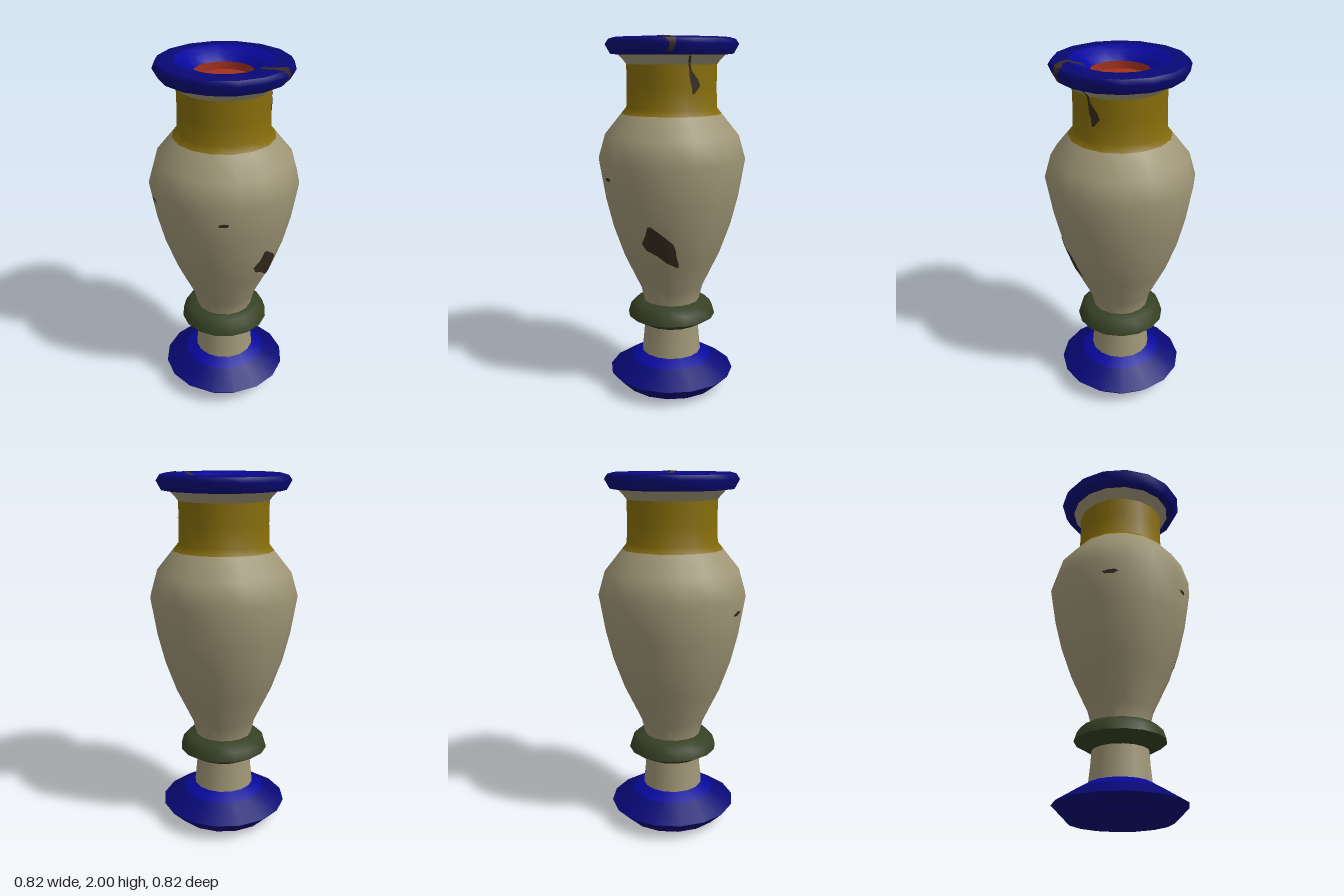
import * as THREE from 'three';

const SIDES = 16;
const HALF = Math.PI / SIDES;

const material = (name, color, side = THREE.FrontSide) => {
  const m = new THREE.MeshStandardMaterial({ color, side });
  m.name = name;
  return m;
};

// Outer profiles as [radius, height], from bottom to top
const BODY = [[0.158, 0.5], [0.16, 0.53], [0.18, 0.61], [0.275, 0.81], [0.335, 0.98], [0.375, 1.14],
  [0.41, 1.35], [0.372, 1.48], [0.277, 1.597]];
const NECK = [[0.277, 1.597], [0.25, 1.63], [0.246, 1.74], [0.247, 1.86]];
const FLARE = [[0.247, 1.86], [0.262, 1.88], [0.295, 1.915]];
const RIM_SIDE = [[0.335, 1.915], [0.363, 1.965], [0.346, 1.991]];
const RIM_TOP = [[0.346, 1.991], [0.315, 2], [0.258, 1.997]];
const RIM_FUNNEL = [[0.258, 1.997], [0.2, 1.978], [0.157, 1.935]];

// Piecewise linear lookup: value in column `to` where column `from` equals v
function lookup(profile, v, from, to) {
  for (let i = 0; i < profile.length - 1; i++) {
    const a = profile[i], b = profile[i + 1];
    const t = (v - a[from]) / (b[from] - a[from]);
    if (t >= -1e-6 && t <= 1 + 1e-6) return a[to] + t * (b[to] - a[to]);
  }
  const end = Math.abs(v - profile[0][from]) < Math.abs(v - profile.at(-1)[from]) ? profile[0] : profile.at(-1);
  return end[to];
}

// Ratio of a facet's distance from the axis to its corner radius at an angle
function facet(angle) {
  const a = ((angle % (2 * HALF)) + 2 * HALF) % (2 * HALF) - HALF;
  return Math.cos(HALF) / Math.cos(a);
}

// Open strip through rows of two end points, each row divided across
function strip(rows, across, place) {
  const pos = [], index = [];
  rows.forEach((row, i) => {
    for (let j = 0; j <= across; j++) {
      pos.push(...place(row, j / across));
      if (i && j) {
        const d = i * (across + 1) + j, b = d - across - 1;
        index.push(b - 1, d - 1, d, b - 1, d, b);
      }
    }
  });
  const g = new THREE.BufferGeometry();
  g.setAttribute('position', new THREE.Float32BufferAttribute(pos, 3));
  g.setIndex(index);
  g.computeVertexNormals();
  return g;
}

// Worn patch on an upright wall: rows are [height, z at one edge, z at the other], on side +x
function wallPatch(profile, rows, turn = 0) {
  return strip(rows, 8, ([y, z0, z1], t) => {
    const r = lookup(profile, y, 1, 0);
    const a = Math.asin((z0 + (z1 - z0) * t) / r) + turn;
    const d = r * facet(a) + 0.004;
    return [d * Math.cos(a), y, d * Math.sin(a)];
  });
}

export function createModel() {
  const group = new THREE.Group();
  const cream = material('cream glaze', 0x9f9676);
  const navy = material('dark blue glaze', 0x080874);
  const blue = material('bright blue glaze', 0x08089c);
  const yellow = material('yellow glaze', 0x866d0a);
  const green = material('green glaze', 0x354023);
  const clay = material('terracotta inside', 0xa3321f);
  const worn = material('worn brown', 0x382c1f, THREE.DoubleSide);

  const add = (name, geometry, mat) => {
    const mesh = new THREE.Mesh(geometry, mat);
    mesh.name = name;
    group.add(mesh);
  };
  const turned = (name, points, mat) =>
    add(name, new THREE.LatheGeometry(points.map(p => new THREE.Vector2(...p)), SIDES), mat);

  // Foot, with a brighter band round the stem
  turned('footUnderside', [[0, 0.02], [0.1, 0.015], [0.16, 0], [0.28, 0.02]], navy);
  turned('footLowerBevel', [[0.28, 0.02], [0.36, 0.1]], navy);
  turned('footTop', [[0.36, 0.1], [0.235, 0.177]], navy);
  turned('footInnerBand', [[0.235, 0.177], [0.17, 0.215], [0.15, 0.218]], blue);

  // Stem with collar
  turned('stem', [[0.172, 0.205], [0.16, 0.32], [0.155, 0.4]], cream);
  turned('collarUnderside', [[0.15, 0.39], [0.17, 0.392], [0.252, 0.44]], green);
  turned('collarTop', [[0.252, 0.44], [0.237, 0.49], [0.205, 0.52], [0.155, 0.53]], green);

  // Body, neck band and flared lip
  turned('body', BODY, cream);
  turned('neckBand', NECK, yellow);
  turned('flare', FLARE, cream);

  // Rim, brighter where it dips into the mouth
  turned('rimUnderside', [[0.27, 1.908], [0.335, 1.915]], navy);
  turned('rimSide', RIM_SIDE, navy);
  turned('rimTop', RIM_TOP, navy);
  turned('rimFunnel', RIM_FUNNEL, blue);

  // Mouth
  turned('mouthWall', [[0.157, 1.935], [0.157, 1.895]], clay);
  turned('mouthFloor', [[0.157, 1.895], [0, 1.895]], clay);

  // Chipped glaze on the body
  add('bodyChip', wallPatch(BODY, [[1.03, 0.205, 0.22], [0.98, 0.14, 0.225], [0.93, 0.085, 0.235],
    [0.89, 0.07, 0.21], [0.86, 0.065, 0.16], [0.82, 0.05, 0.11], [0.79, 0.045, 0.055]]), worn);
  add('flakeMiddle', wallPatch(BODY, [[1.25, -0.02, 0.02], [1.262, -0.03, 0.03], [1.27, -0.02, 0]], 1.365), worn);
  add('flakeSide', wallPatch(BODY, [[1.262, -0.02, 0.03], [1.275, -0.05, 0.04], [1.285, -0.03, 0]], 2.6), worn);

  // Crack running from neck over the rim to the mouth
  add('neckCrack', wallPatch([...NECK, ...FLARE], [[1.905, -0.012, 0], [1.88, -0.018, -0.005],
    [1.86, -0.022, -0.01], [1.83, -0.03, -0.015], [1.78, -0.07, -0.02], [1.75, -0.08, -0.03],
    [1.71, -0.045, -0.035]]), worn);
  add('rimSideCrack', wallPatch(RIM_SIDE, [[1.925, 0.1, 0.125], [1.965, 0.09, 0.12], [1.991, 0.085, 0.135]]), worn);
  const crack = [[0.13, 0.085, 0.105], [0.17, 0.08, 0.108], [0.2, 0.08, 0.12], [0.215, 0.085, 0.15],
    [0.24, 0.125, 0.152], [0.28, 0.12, 0.15], [0.315, 0.085, 0.145], [0.335, 0.085, 0.11]];
  add('rimTopCrack', strip(crack, 4, ([x, z0, z1], t) => {
    const z = z0 + (z1 - z0) * t;
    const r = Math.hypot(x, z) / facet(Math.atan2(z, x));
    return [x, lookup([...RIM_TOP, ...RIM_FUNNEL], r, 0, 1) + 0.004, z];
  }), worn);

  return group;
}
